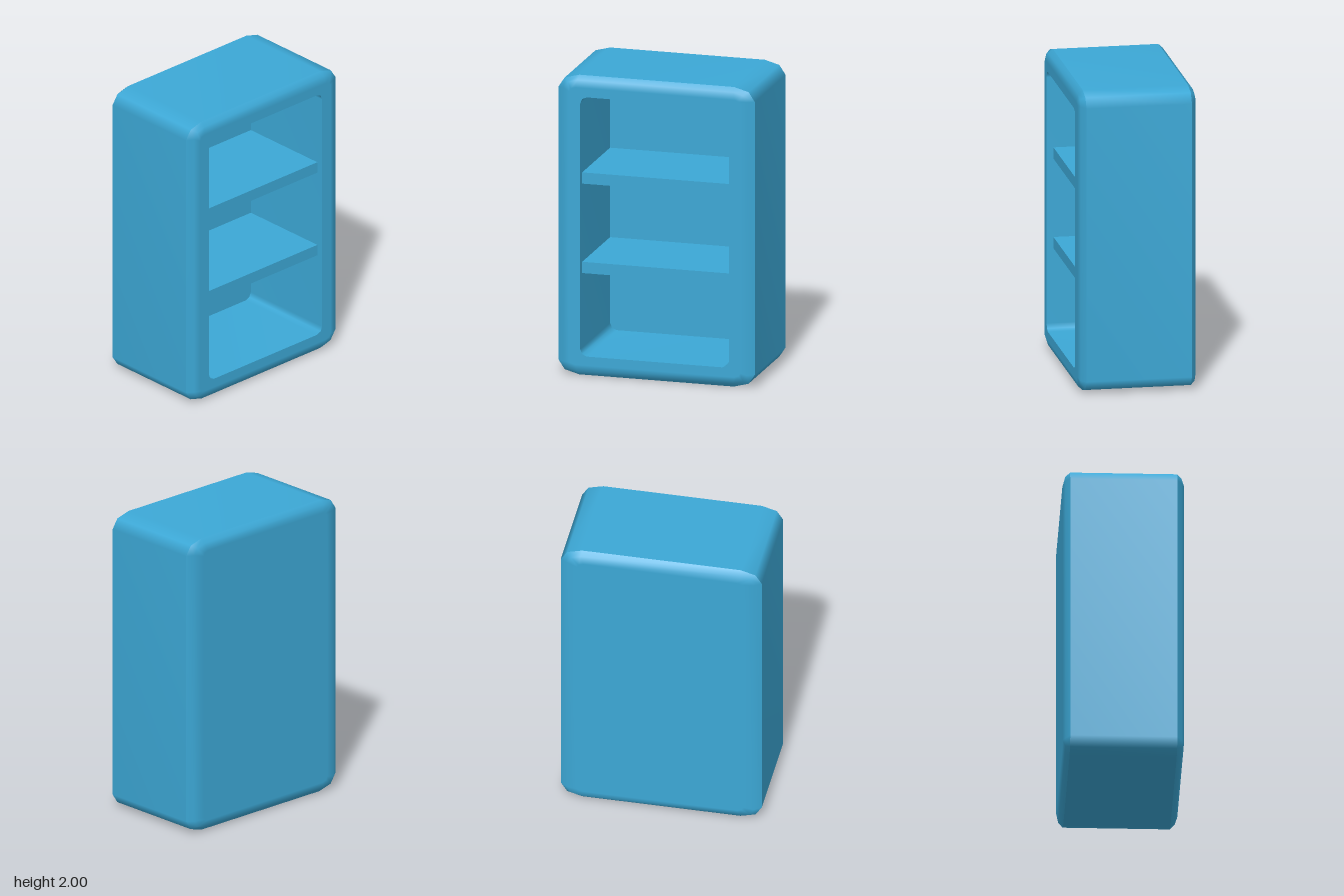
import * as THREE from 'three';

const CY = 1; // height of the cabinet centre

// Rectangle outline with two-segment corners, anticlockwise seen from the front
function ring(hx, hy, rx, ry, z) {
  const corner = [[hx, hy - ry], [hx - rx * 0.3, hy - ry * 0.3], [hx - rx, hy]];
  const back = [...corner].reverse();
  return [
    ...corner,
    ...back.map(([x, y]) => [-x, y]),
    ...corner.map(([x, y]) => [-x, -y]),
    ...back.map(([x, y]) => [x, -y]),
  ].map(([x, y]) => new THREE.Vector3(x, y + CY, z));
}

// Smooth skin between successive rings; flatRing gets normals along z to meet a flat face
function loft(rings, flatRing = -1, nz = 1) {
  const n = rings[0].length;
  const index = [];
  for (let j = 0; j < rings.length - 1; j++) {
    for (let i = 0; i < n; i++) {
      const a = j * n + i, b = j * n + (i + 1) % n;
      index.push(a, a + n, b, b, a + n, b + n);
    }
  }
  const geo = new THREE.BufferGeometry().setFromPoints(rings.flat());
  geo.setIndex(index);
  geo.computeVertexNormals();
  if (flatRing >= 0) {
    for (let i = 0; i < n; i++) geo.attributes.normal.setXYZ(flatRing * n + i, 0, 0, nz);
  }
  return geo;
}

// Flat panel filling a ring
function panel(points, facingBack = false) {
  const geo = new THREE.ShapeGeometry(new THREE.Shape(points.map(p => new THREE.Vector2(p.x, p.y))));
  if (facingBack) geo.rotateY(Math.PI);
  return geo.translate(0, 0, points[0].z);
}

export function createModel() {
  const group = new THREE.Group();
  const blue = new THREE.MeshStandardMaterial({ color: 0x3ca8d6 });
  blue.name = 'blue';
  const add = (name, geo) => {
    const mesh = new THREE.Mesh(geo, blue);
    mesh.name = name;
    group.add(mesh);
    return mesh;
  };

  const outer = z => ring(0.66, 1, 0.14, 0.09, z);
  const middle = z => ring(0.615, 0.972, 0.09, 0.06, z);
  const opening = z => ring(0.5, 0.865, 0.045, 0.045, z);
  const frontFlat = ring(0.575, 0.925, 0.04, 0.03, 0.39);
  const backFlat = ring(0.545, 0.925, 0.04, 0.03, -0.39);

  // Outer shell
  add('outerWalls', loft([outer(0.345), outer(-0.345)]));
  add('frontBevel', loft([frontFlat, middle(0.375), outer(0.345)], 0, 1));
  add('backBevel', loft([outer(-0.345), middle(-0.375), backFlat], 2, -1));
  add('frontFrame', loft([opening(0.39), frontFlat]));
  add('backPanel', panel(backFlat, true));

  // Inside of the cabinet
  add('innerWalls', loft([opening(-0.28), opening(0.39)]));
  add('innerBack', panel(opening(-0.28)));

  // Shelves
  for (const y of [0.715, 1.312]) {
    add('shelf', new THREE.BoxGeometry(1, 0.075, 0.625)).position.set(0, y, 0.0325);
  }
  return group;
}
